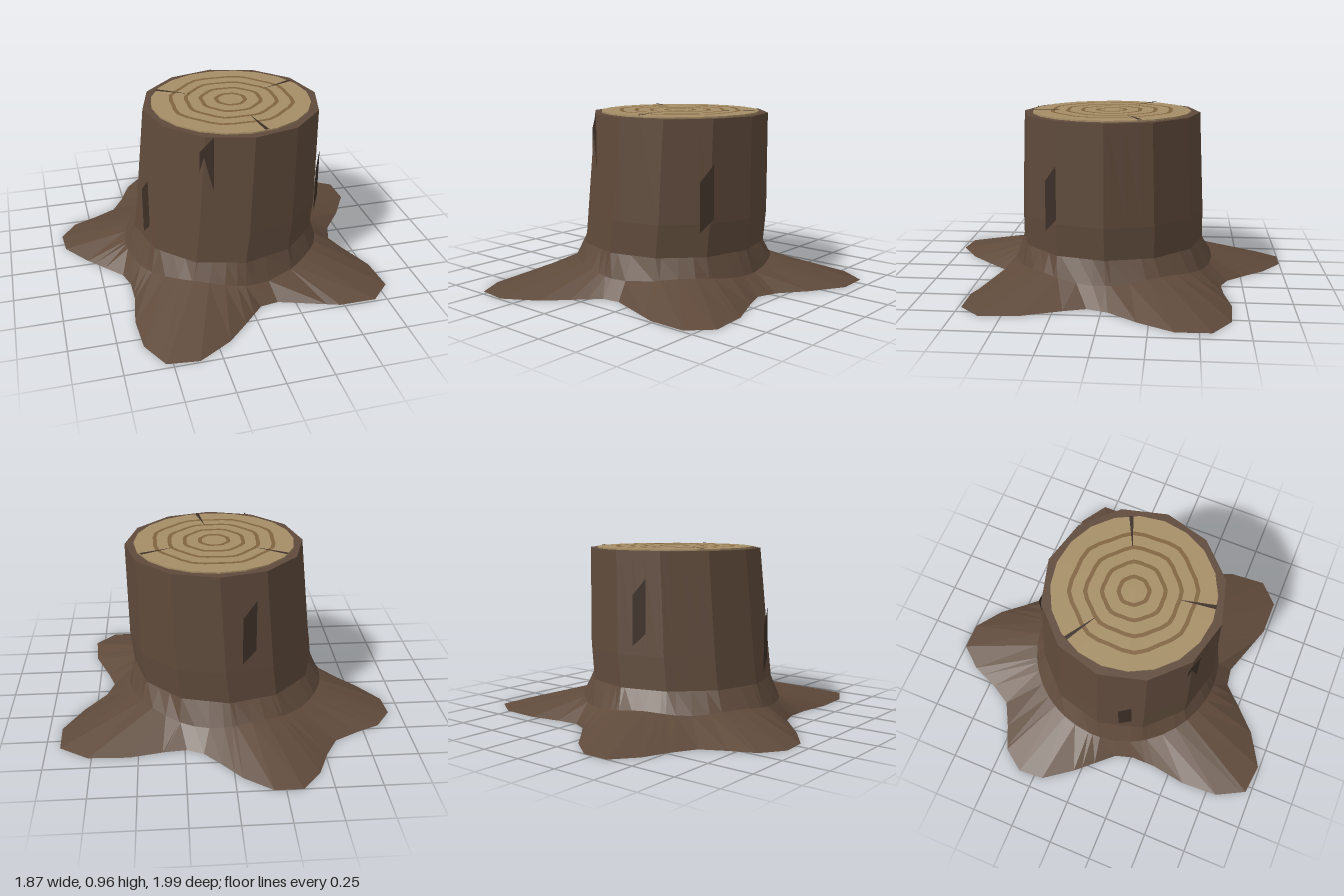
import * as THREE from 'three';

const BARK = 0x5f4a3b, WOOD = 0xa58e66, RING = 0x80643f, DARK = 0x3d3027;
const CX = 0.05; // the trunk leans so its top is centred here
const rad = THREE.MathUtils.degToRad;

// footprint of the five spreading roots (x, z)
const FOOT = [
  [-0.34, -1], [-0.19, -1], [-0.04, -0.89], [0.06, -0.77], [0.15, -0.67], [0.24, -0.63], [0.36, -0.64],
  [0.55, -0.675], [0.77, -0.665], [0.925, -0.565], [0.93, -0.38], [0.82, -0.19], [0.7, -0.035],
  [0.66, 0.08], [0.7, 0.2], [0.785, 0.41], [0.8, 0.62], [0.685, 0.735], [0.48, 0.735], [0.155, 0.625],
  [0.055, 0.64], [-0.065, 0.765], [-0.18, 0.88], [-0.365, 0.99], [-0.535, 0.97], [-0.62, 0.81],
  [-0.63, 0.6], [-0.6, 0.4], [-0.6, 0.26], [-0.63, 0.16], [-0.72, 0.06], [-0.81, -0.04],
  [-0.925, -0.2], [-0.935, -0.345], [-0.845, -0.47], [-0.71, -0.53], [-0.58, -0.6],
  [-0.51, -0.72], [-0.445, -0.875],
];

// distance from the centre to the footprint edge in direction a
function footRadius(a) {
  const c = Math.cos(a), s = Math.sin(a);
  let best = 0;
  FOOT.forEach(([x, z], i) => {
    const [x2, z2] = FOOT[(i + 1) % FOOT.length];
    const dx = x2 - x, dz = z2 - z, det = c * dz - s * dx;
    if (Math.abs(det) < 1e-9) return;
    const r = (x * dz - z * dx) / det, t = (x * s - z * c) / det;
    if (r > 0 && t > -1e-6 && t < 1 + 1e-6) best = Math.max(best, r);
  });
  return best;
}

// every footprint corner plus the twelve trunk corners
const ANGLES = [
  ...FOOT.map(([x, z]) => Math.atan2(z, x)),
  ...Array.from({ length: 12 }, (_, i) => rad(i * 30 - 180)),
].sort((a, b) => a - b);

// cross-sections, each a list of points in the order of ANGLES
const section = (fn) => ANGLES.map(fn);
const dodecagon = (x, y, r) => section((a) => {
  const step = Math.PI / 6, m = (((a % step) + step) % step) - step / 2;
  const d = (r * Math.cos(step / 2)) / Math.cos(m);
  return [x + d * Math.cos(a), y, d * Math.sin(a)];
});
const centre = (x, y) => section(() => [x, y, 0]);

function loft(sections) {
  const pos = [], index = [], n = ANGLES.length;
  sections.forEach((s) => s.forEach((p) => pos.push(...p)));
  for (let k = 0; k < sections.length - 1; k++) {
    for (let i = 0; i < n; i++) {
      const j = (i + 1) % n, b = k * n, t = b + n;
      index.push(b + i, t + i, t + j, b + i, t + j, b + j);
    }
  }
  const g = new THREE.BufferGeometry();
  g.setAttribute('position', new THREE.Float32BufferAttribute(pos, 3));
  g.setIndex(index);
  g.computeVertexNormals();
  return g;
}

export function createModel() {
  const model = new THREE.Group();
  const material = (color, side = THREE.FrontSide) =>
    new THREE.MeshStandardMaterial({ color, side, flatShading: true });
  const bark = material(BARK), wood = material(WOOD);
  const ringMat = material(RING), dark = material(DARK, THREE.DoubleSide);
  const add = (name, geometry, mat, parent = model) => {
    const mesh = new THREE.Mesh(geometry, mat);
    mesh.name = name;
    parent.add(mesh);
    return mesh;
  };

  // spreading roots, higher where a root leaves the trunk
  const foot = section((a) => {
    const r = footRadius(a);
    return [r * Math.cos(a), 0, r * Math.sin(a)];
  });
  const collar = section((a) => [
    0.57 * Math.cos(a) - 0.01,
    0.09 + 0.08 * Math.max(0, footRadius(a) - 0.65),
    0.57 * Math.sin(a) - 0.01,
  ]);
  add('roots', loft([centre(0, 0), foot, collar]), bark);

  // flared collar and twelve-sided trunk
  const base = dodecagon(0, 0.22, 0.525);
  add('rootCollar', loft([collar, base]), bark);
  add('trunk', loft([base, dodecagon(0.02, 0.4, 0.523), dodecagon(CX, 0.953, 0.497), centre(CX, 0.953)]), bark);

  // cut face
  const cut = new THREE.Group();
  cut.name = 'cutFace';
  cut.position.x = CX;
  model.add(cut);
  add('cutDisc', new THREE.CylinderGeometry(0.447, 0.447, 0.01, 20), wood, cut).position.y = 0.956;

  // wavering growth rings
  [0.08, 0.165, 0.25, 0.335].forEach((r, k) => {
    const loop = (radius) => Array.from({ length: 32 }, (_, i) => {
      const a = (i / 32) * Math.PI * 2;
      const d = radius * (1 + 0.025 * Math.cos(8 * a + Math.PI) + 0.012 * Math.sin(3 * a + k));
      return new THREE.Vector2(d * Math.cos(a), d * Math.sin(a));
    });
    const shape = new THREE.Shape(loop(r + 0.011));
    shape.holes.push(new THREE.Path(loop(r - 0.011)));
    add('growthRing', new THREE.ShapeGeometry(shape).rotateX(-Math.PI / 2), ringMat, cut).position.y = 0.963;
  });

  // drying cracks running in from the rim
  [211, -24, 80].forEach((deg) => {
    const shape = new THREE.Shape([[0.24, 0], [0.445, -0.012], [0.445, 0.012]].map((p) => new THREE.Vector2(...p)));
    const crack = add('crack', new THREE.ShapeGeometry(shape).rotateX(-Math.PI / 2), dark, cut);
    crack.position.y = 0.965;
    crack.rotation.y = -rad(deg);
  });

  // slanted bark scars: azimuth from the front, height, distance from the axis, axis x
  const scar = new THREE.Shape(
    [[-0.038, -0.18], [0.038, -0.11], [0.038, 0.18], [-0.038, 0.09]].map((p) => new THREE.Vector2(...p)));
  [[57, 0.54, 0.53, 0.03], [-28, 0.78, 0.5, 0.04], [-72, 0.44, 0.525, 0.02], [196, 0.63, 0.515, 0.035]]
    .forEach(([deg, y, r, x]) => {
      const a = rad(deg);
      const mesh = add('barkScar', new THREE.ShapeGeometry(scar), dark);
      mesh.position.set(x + r * Math.sin(a), y, r * Math.cos(a));
      mesh.rotation.y = a;
    });

  return model;
}
